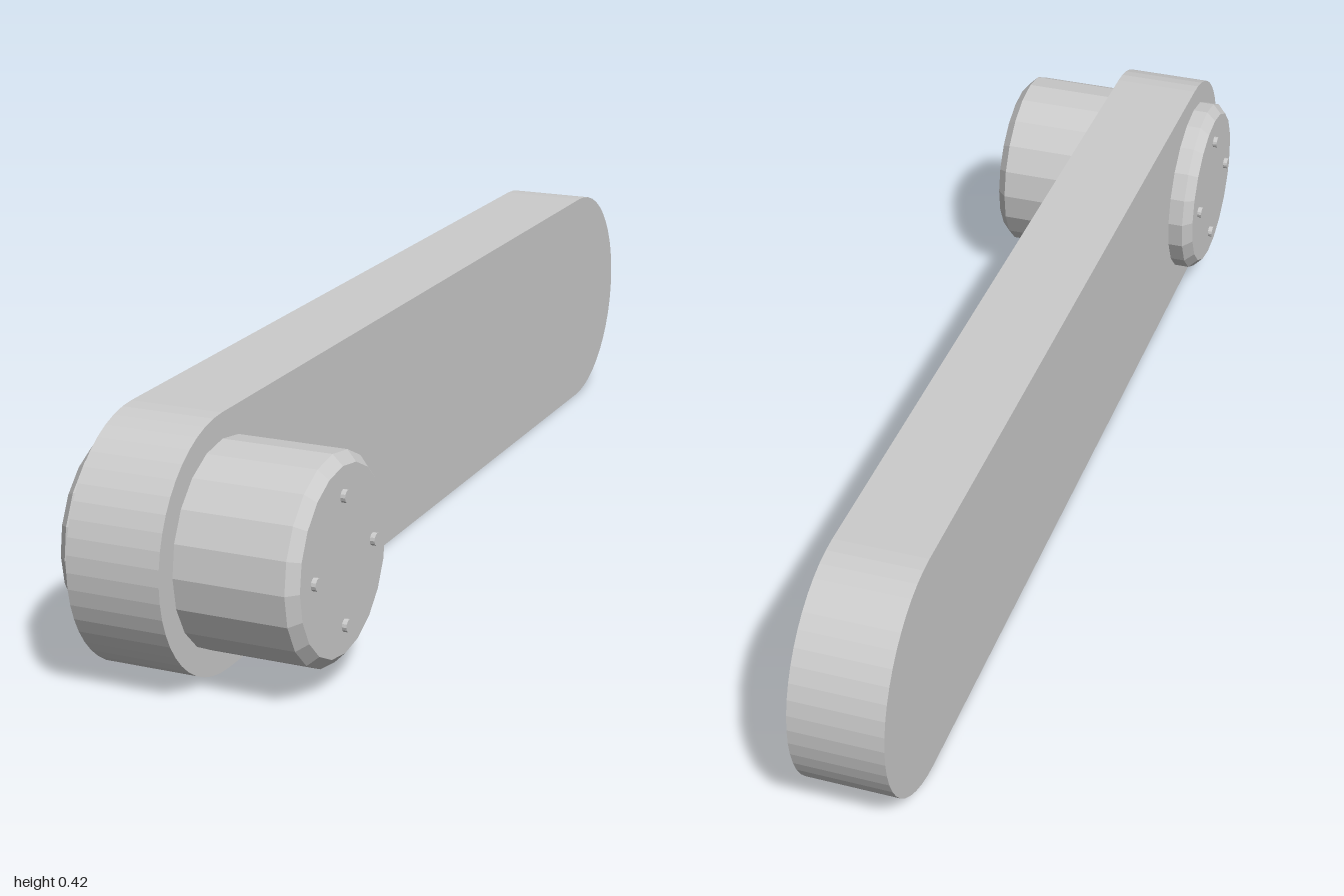
import * as THREE from 'three';

export function createModel() {
  const group = new THREE.Group();
  const mat = new THREE.MeshStandardMaterial({ color: 0xcccccc, flatShading: true });
  const R = 0.211, pivotZ = 1 - R, armWidth = 0.158;

  const add = (geometry, name, parent = group) => {
    const mesh = new THREE.Mesh(geometry, mat);
    mesh.name = name;
    parent.add(mesh);
    return mesh;
  };

  // Arm: flat bar with semicircular ends, extruded across x
  const outline = new THREE.Shape();
  outline.absarc(pivotZ, 0, R, -Math.PI / 2, Math.PI / 2, false);
  outline.absarc(-pivotZ, 0, R, Math.PI / 2, Math.PI * 1.5, false);
  const armGeo = new THREE.ExtrudeGeometry(outline, { depth: armWidth, bevelEnabled: false, curveSegments: 12 });
  armGeo.rotateY(-Math.PI / 2); // shape x becomes z, depth runs to -x
  add(armGeo, 'arm').position.y = R;

  // Pivot assembly at the front end
  const pivot = new THREE.Group();
  pivot.name = 'pivot';
  pivot.position.set(0, R, pivotZ);
  group.add(pivot);

  // Boss: chamfered cylinder passing through the arm
  const profile = [[0, -0.203], [0.152, -0.203], [0.169, -0.186], [0.169, 0.186], [0.152, 0.203], [0, 0.203]]
    .map(([r, h]) => new THREE.Vector2(r, h));
  const bossGeo = new THREE.LatheGeometry(profile, 20);
  bossGeo.rotateZ(-Math.PI / 2);
  add(bossGeo, 'boss', pivot);

  // Four small pins on each end face
  for (const side of [-1, 1]) {
    for (let i = 0; i < 4; i++) {
      const a = i * Math.PI / 2;
      const pinGeo = new THREE.CylinderGeometry(0.0105, 0.0105, 0.018, 12);
      pinGeo.rotateZ(Math.PI / 2);
      add(pinGeo, side > 0 ? 'leftPin' : 'rightPin', pivot)
        .position.set(side * 0.202, 0.105 * Math.sin(a), 0.105 * Math.cos(a));
    }
  }
  return group;
}
